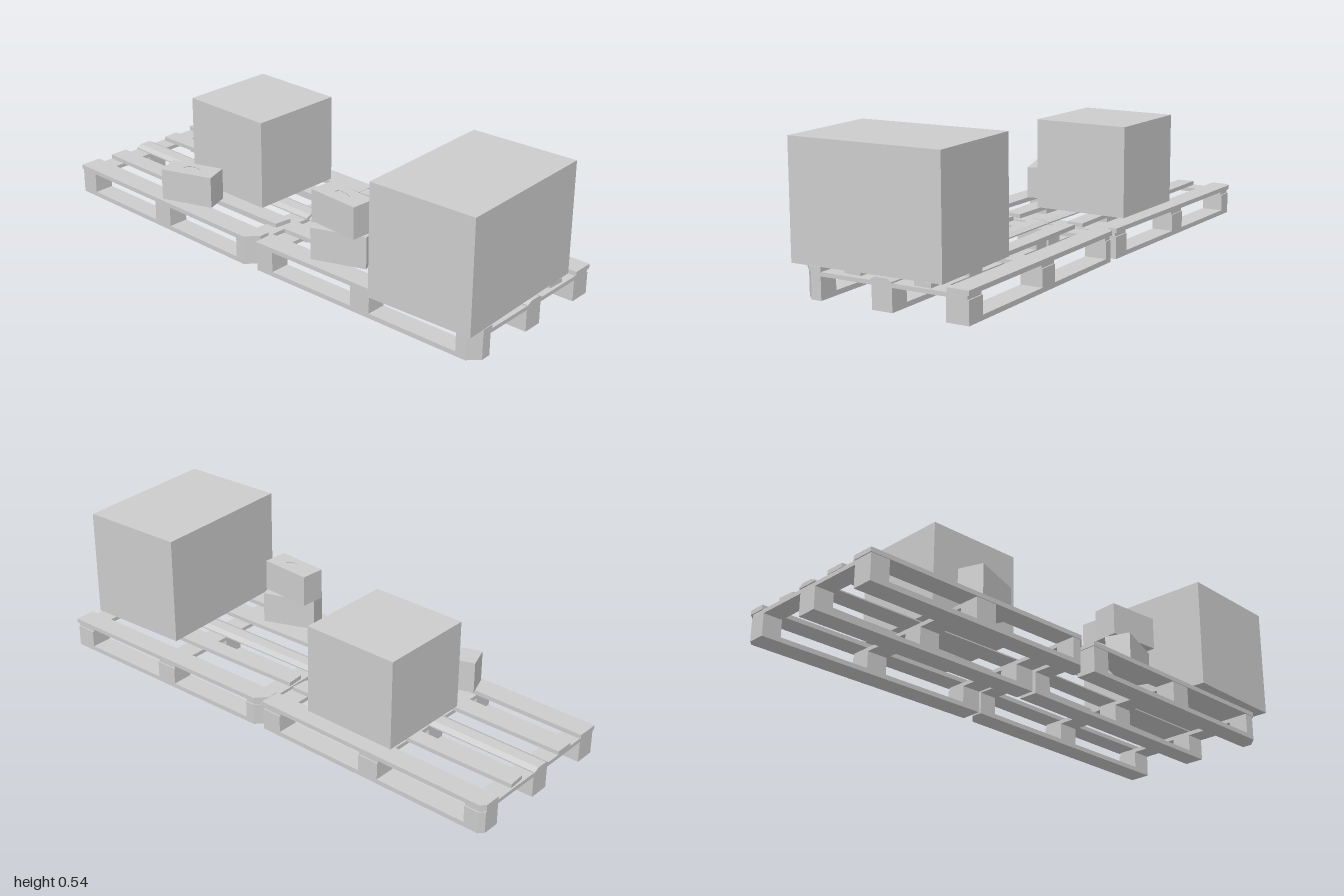
import * as THREE from 'three';

const grey = new THREE.MeshStandardMaterial({ color: 0xcccccc });
grey.name = 'plain grey';

function add(parent, name, geometry) {
  const mesh = new THREE.Mesh(geometry, grey);
  mesh.name = name;
  parent.add(mesh);
  return mesh;
}

// Upright prism from an [x, z] outline, between two heights
function slab(points, y0, y1) {
  const shape = new THREE.Shape(points.map(([x, z]) => new THREE.Vector2(x, -z)));
  const geo = new THREE.ExtrudeGeometry(shape, { depth: y1 - y0, bevelEnabled: false });
  return geo.rotateX(-Math.PI / 2).translate(0, y0, 0);
}

// Rectangle with optional cut corners (back left, front right)
function plan(x0, x1, z0, z1, backLeft = 0, frontRight = 0) {
  const pts = [];
  if (backLeft) pts.push([x0, z0 + backLeft], [x0 + backLeft, z0]);
  else pts.push([x0, z0]);
  pts.push([x1, z0]);
  if (frontRight) pts.push([x1, z1 - frontRight], [x1 - frontRight, z1]);
  else pts.push([x1, z1]);
  pts.push([x0, z1]);
  return pts;
}

const rows = [[-0.33, -0.245], [-0.04, 0.04], [0.245, 0.325]];
const columns = [[-0.49, -0.415], [-0.045, 0.04], [0.41, 0.49]];

function pallet(name, backLeft, frontRight) {
  const group = new THREE.Group();
  group.name = name;

  // Skids and blocks; only the outer corners are cut
  rows.forEach(([z0, z1], r) => {
    const bl = r === 0 ? backLeft : 0;
    const fr = r === 2 ? frontRight : 0;
    add(group, 'skid', slab(plan(-0.49, 0.49, z0, z1, bl, fr), 0, 0.018));
    columns.forEach(([x0, x1], c) => {
      add(group, 'block', slab(plan(x0, x1, z0, z1, c === 0 ? bl : 0, c === 2 ? fr : 0), 0.018, 0.083));
    });
  });

  // Cross boards
  columns.forEach(([x0, x1], c) => {
    const points = plan(x0, x1, -0.325, 0.325, c === 0 ? backLeft : 0, c === 2 ? frontRight : 0);
    add(group, 'crossBoard', slab(points, 0.083, 0.098));
  });

  // Outer deck boards
  add(group, 'backDeckBoard', slab(plan(-0.494, 0.494, -0.333, -0.25, backLeft, 0), 0.098, 0.115));
  add(group, 'frontDeckBoard', slab(plan(-0.494, 0.494, 0.242, 0.328, 0, frontRight), 0.098, 0.115));

  // Worn inner deck boards with uneven edges
  add(group, 'innerBackBoard', slab([
    [-0.485, -0.165], [-0.2, -0.17], [0.2, -0.172], [0.48, -0.182],
    [0.476, -0.115], [0.2, -0.107], [-0.2, -0.105], [-0.48, -0.097],
  ], 0.098, 0.114));
  add(group, 'innerFrontBoard', slab([
    [-0.492, 0.105], [0, 0.1], [0.468, 0.1],
    [0.46, 0.17], [0.15, 0.176], [-0.12, 0.18], [-0.492, 0.179],
  ], 0.098, 0.114));

  // Middle board with a rounded top
  const section = new THREE.Shape([
    [-0.042, 0.098], [0.042, 0.098], [0.042, 0.103], [0.022, 0.113], [-0.022, 0.113], [-0.042, 0.103],
  ].map(([x, y]) => new THREE.Vector2(x, y)));
  const middle = new THREE.ExtrudeGeometry(section, { depth: 0.99, bevelEnabled: false });
  add(group, 'middleDeckBoard', middle.translate(0, 0, -0.495).rotateY(Math.PI / 2));
  return group;
}

function box(parent, name, size, position, turn) {
  const group = new THREE.Group();
  group.name = name;
  add(group, name + 'Body', new THREE.BoxGeometry(...size).translate(0, size[1] / 2, 0));
  group.position.set(...position);
  group.rotation.y = turn;
  parent.add(group);
  return group;
}

// Small arched strap on a lid
function handle(parent, height) {
  const curve = new THREE.CatmullRomCurve3([
    [-0.035, 0, 0.004], [-0.018, 0.009, 0.002], [0.018, 0.009, -0.002], [0.035, 0, -0.004],
  ].map((p) => new THREE.Vector3(...p)));
  const strap = add(parent, 'handle', new THREE.TubeGeometry(curve, 10, 0.002, 5));
  strap.position.y = height;
}

export function createModel() {
  const model = new THREE.Group();
  model.name = 'loadedPallets';

  // Two pallets end to end, the second slightly askew
  const left = pallet('straightPallet', 0.018, 0.045);
  left.position.set(-0.506, 0, 0);
  const right = pallet('turnedPallet', 0.04, 0.04);
  right.position.set(0.492, 0, -0.017);
  right.rotation.y = 0.03;
  model.add(left, right);

  // Large crates
  box(model, 'mediumCrate', [0.38, 0.345, 0.38], [-0.37, 0.115, -0.08], 0);
  box(model, 'largeCrate', [0.418, 0.425, 0.586], [0.771, 0.115, 0.05], 0.058);

  // Small cartons
  const size = [0.21, 0.123, 0.097];
  handle(box(model, 'looseCarton', size, [-0.434, 0.115, 0.234], 0.35), size[1]);
  box(model, 'lowerCarton', size, [0.325, 0.115, 0.203], 0.38);
  handle(box(model, 'upperCarton', size, [0.317, 0.238, 0.2], -0.05), size[1]);
  return model;
}
